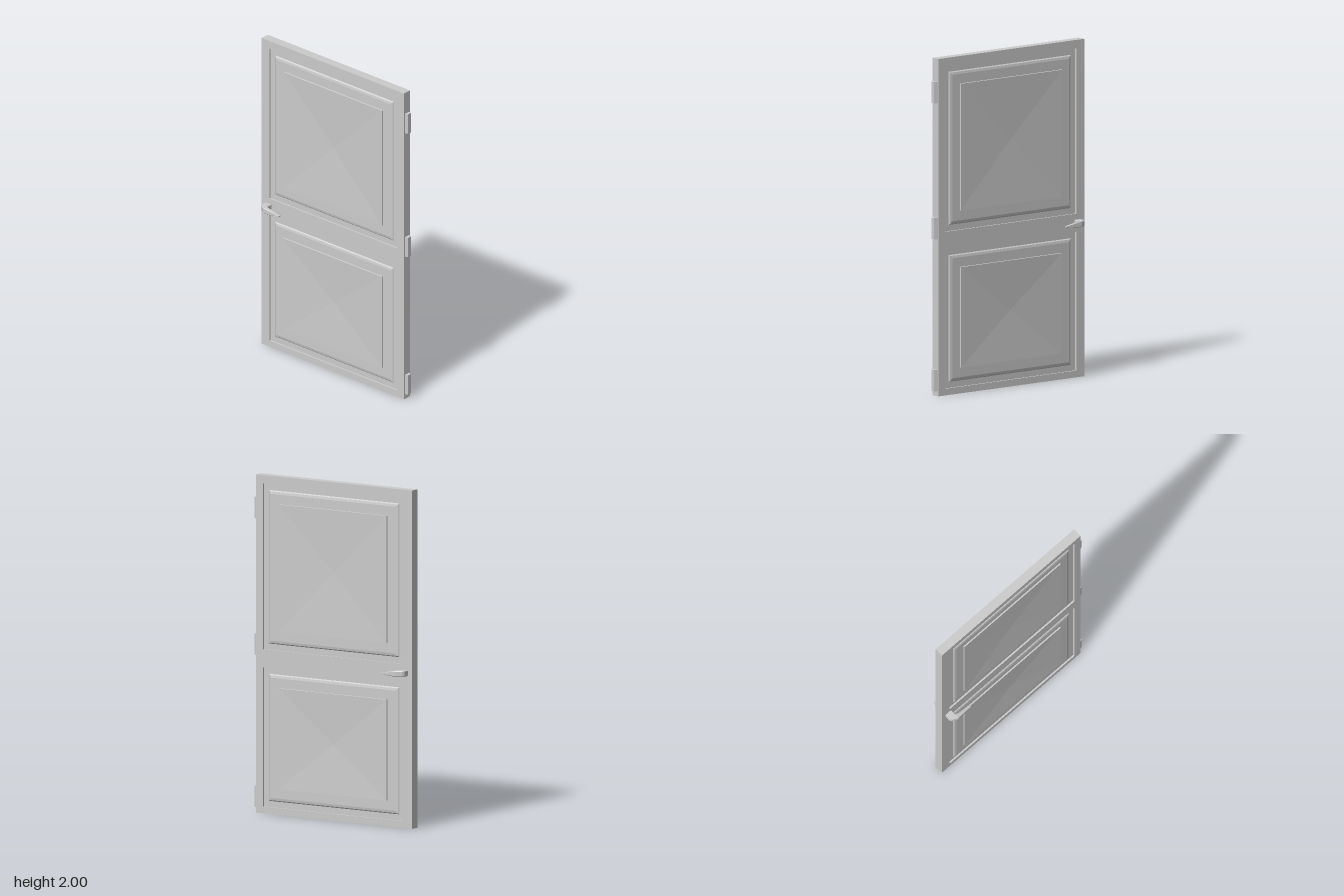
import * as THREE from 'three';

const HALF = 0.0275; // half the door thickness
const Z0 = -0.56, Z1 = 0.54; // latch edge and hinge edge
const PANELS = [
  { name: 'upperPanel', y0: 0.97, y1: 1.95 },
  { name: 'lowerPanel', y0: 0.04, y1: 0.863 },
];
const PZ0 = -0.5, PZ1 = 0.49;

const material = new THREE.MeshStandardMaterial({ color: 0xcccccc, flatShading: true });

function addMesh(parent, geometry, name) {
  const mesh = new THREE.Mesh(geometry, material);
  mesh.name = name;
  parent.add(mesh);
  return mesh;
}

function rectPath(path, a0, b0, a1, b1) {
  path.moveTo(a0, b0).lineTo(a1, b0).lineTo(a1, b1).lineTo(a0, b1).closePath();
  return path;
}

// Slab with two panel openings
function frameGeometry() {
  const shape = rectPath(new THREE.Shape(), Z0, 0, Z1, 2);
  for (const p of PANELS) shape.holes.push(rectPath(new THREE.Path(), PZ0, p.y0, PZ1, p.y1));
  const g = new THREE.ExtrudeGeometry(shape, { depth: 2 * HALF, bevelEnabled: false });
  return g.translate(0, 0, -HALF).rotateY(-Math.PI / 2);
}

// Panel face: nested rectangles [inset, height above the frame], then a shallow dished centre
function panelGeometry({ y0, y1 }, side) {
  const profile = [[0, -0.01], [0.036, -0.01], [0.042, -0.004], [0.056, -0.001], [0.113, -0.001], [0.114, 0.007]];
  const rings = profile.map(([inset, h]) => {
    const x = side * (HALF + h);
    const a = y0 + inset, b = y1 - inset, c = PZ0 + inset, d = PZ1 - inset;
    return [[x, a, c], [x, b, c], [x, b, d], [x, a, d]];
  });
  const pos = [];
  const tri = (a, b, c) => pos.push(...a, ...(side > 0 ? b : c), ...(side > 0 ? c : b));
  for (let i = 0; i < rings.length - 1; i++) {
    for (let k = 0; k < 4; k++) {
      const n = (k + 1) % 4, o = rings[i], r = rings[i + 1];
      tri(o[k], o[n], r[n]);
      tri(o[k], r[n], r[k]);
    }
  }
  const last = rings[rings.length - 1];
  const centre = [side * (HALF - 0.004), (y0 + y1) / 2, (PZ0 + PZ1) / 2];
  for (let k = 0; k < 4; k++) tri(last[k], last[(k + 1) % 4], centre);
  const g = new THREE.BufferGeometry();
  g.setAttribute('position', new THREE.Float32BufferAttribute(pos, 3));
  g.computeVertexNormals();
  return g;
}

// Bent lever drawn from above, tapering in height towards its tip
function handleGeometry(side) {
  const outline = [
    [0.024, -0.528], [0.064, -0.528], [0.074, -0.52], [0.09, -0.488], [0.089, -0.47], [0.082, -0.383],
    [0.072, -0.383], [0.07, -0.47], [0.064, -0.489], [0.024, -0.489],
  ];
  const shape = new THREE.Shape(outline.map(([x, z]) => new THREE.Vector2(side * x, z)));
  const g = new THREE.ExtrudeGeometry(shape, {
    depth: 0.027, bevelThickness: 0.004, bevelSize: 0.003, bevelSegments: 1,
  });
  g.rotateX(Math.PI / 2).translate(0, 0.931, 0);
  const p = g.attributes.position;
  for (let i = 0; i < p.count; i++) {
    const t = THREE.MathUtils.clamp((p.getZ(i) + 0.48) / 0.1, 0, 1);
    p.setY(i, 0.908 + (p.getY(i) - 0.908) * (1 - 0.78 * t));
  }
  g.computeVertexNormals();
  return g;
}

// Hinge leaf with a tapered profile seen from above
function hingeGeometry(height) {
  const shape = new THREE.Shape([
    new THREE.Vector2(-0.018, Z1 - 0.005), new THREE.Vector2(0.018, Z1 - 0.005), new THREE.Vector2(0.018, Z1 + 0.004),
    new THREE.Vector2(0.012, Z1 + 0.02), new THREE.Vector2(-0.012, Z1 + 0.02), new THREE.Vector2(-0.018, Z1 + 0.004),
  ]);
  const g = new THREE.ExtrudeGeometry(shape, { depth: height, bevelEnabled: false });
  return g.rotateX(Math.PI / 2).translate(0, height, 0);
}

export function createModel() {
  const model = new THREE.Group();
  model.name = 'door';

  // The whole leaf stands slightly ajar
  const leaf = new THREE.Group();
  leaf.name = 'doorLeaf';
  leaf.position.x = 0.006;
  leaf.rotation.y = 0.02;
  model.add(leaf);

  addMesh(leaf, frameGeometry(), 'doorFrame');

  for (const side of [1, -1]) {
    const label = side > 0 ? 'Left' : 'Right';
    for (const p of PANELS) addMesh(leaf, panelGeometry(p, side), p.name + label);
    addMesh(leaf, handleGeometry(side), 'handle' + label);
  }

  [0.03, 0.93, 1.737].forEach((y, i) => {
    addMesh(leaf, hingeGeometry(0.127), 'hinge' + (i + 1)).position.y = y;
  });

  return model;
}
